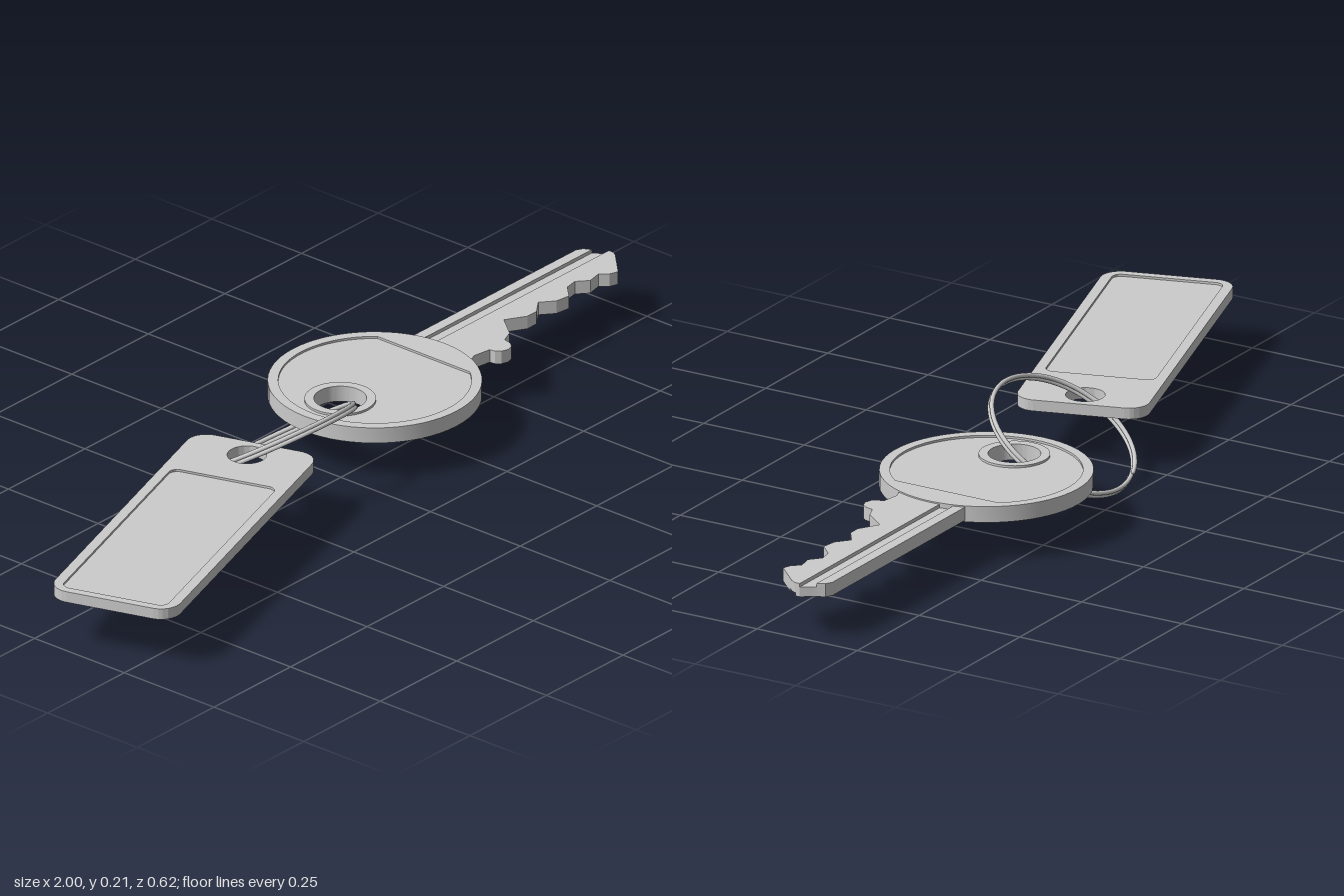
import * as THREE from 'three';
import { toCreasedNormals } from 'three/addons/utils/BufferGeometryUtils.js';

const material = new THREE.MeshStandardMaterial({ color: 0xcccccc, side: THREE.DoubleSide });

function addMesh(parent, name, geometry) {
  const mesh = new THREE.Mesh(geometry, material);
  mesh.name = name;
  parent.add(mesh);
  return mesh;
}

// Flat plate with its outline in plan (x, -z), from height y0 to y1
function addPlate(parent, name, shape, y0, y1) {
  const geometry = new THREE.ExtrudeGeometry(shape, { depth: y1 - y0, bevelEnabled: false, curveSegments: 32 });
  geometry.rotateX(-Math.PI / 2);
  geometry.translate(0, y0, 0);
  return addMesh(parent, name, toCreasedNormals(geometry, 0.5));
}

const planShape = (points) => new THREE.Shape(points.map(([x, z]) => new THREE.Vector2(x, -z)));

function circle(x, z, r, Type = THREE.Path) {
  const path = new Type();
  path.absarc(x, -z, r, 0, Math.PI * 2, false);
  return path;
}

function roundedRect(x0, x1, halfWidth, r, Type = THREE.Path) {
  const path = new Type();
  path.absarc(x1 - r, halfWidth - r, r, 0, Math.PI / 2, false);
  path.absarc(x0 + r, halfWidth - r, r, Math.PI / 2, Math.PI, false);
  path.absarc(x0 + r, -halfWidth + r, r, Math.PI, Math.PI * 1.5, false);
  path.absarc(x1 - r, -halfWidth + r, r, Math.PI * 1.5, Math.PI * 2, false);
  path.closePath();
  return path;
}

function createTag() {
  const tag = new THREE.Group();
  tag.name = 'tag';
  const outline = () => roundedRect(-0.402, 0.402, 0.144, 0.045, THREE.Shape);
  const base = outline();
  base.holes.push(circle(0.343, 0, 0.042));
  addPlate(tag, 'tagBase', base, 0.114, 0.134);
  // Raised border around the label recess
  const rim = outline();
  rim.holes.push(circle(0.343, 0, 0.042), roundedRect(-0.383, 0.223, 0.121, 0.02));
  addPlate(tag, 'tagRim', rim, 0.134, 0.139);
  tag.position.set(-0.585, 0, 0.0615);
  tag.rotation.y = THREE.MathUtils.degToRad(17.5);
  return tag;
}

// Split ring: two turns of round wire
function createRing() {
  const ring = new THREE.Group();
  ring.name = 'splitRing';
  const radius = 0.17, pitch = 0.009, wire = 0.005, steps = 96;
  const points = [];
  for (let i = 0; i <= steps; i++) {
    const turn = (2 * i) / steps;
    const t = -Math.PI / 2 - 0.4 + turn * Math.PI * 2;
    points.push(new THREE.Vector3(radius * Math.cos(t), (turn - 1) * pitch, radius * Math.sin(t)));
  }
  addMesh(ring, 'ringWire', new THREE.TubeGeometry(new THREE.CatmullRomCurve3(points), 256, wire, 10));
  for (const end of [points[0], points[steps]]) {
    addMesh(ring, 'ringWireEnd', new THREE.SphereGeometry(wire, 10, 8)).position.copy(end);
  }
  ring.position.set(-0.1, 0.105, -0.081);
  ring.rotation.x = -0.575;
  return ring;
}

function createKey() {
  const key = new THREE.Group();
  key.name = 'key';
  const cx = 0.207, cz = -0.082, r = 0.2275, holeX = 0.094;

  // Round bow with a hole
  const bow = circle(cx, cz, r, THREE.Shape);
  bow.holes.push(circle(holeX, cz, 0.056));
  addPlate(key, 'bow', bow, 0.09, 0.121);

  // Raised border; the recess ends in a straight chord toward the blade
  const rim = circle(cx, cz, r, THREE.Shape);
  const recess = new THREE.Path();
  recess.absarc(cx, -cz, 0.205, 0.68, Math.PI * 2 - 0.68, false);
  recess.closePath();
  rim.holes.push(recess);
  addPlate(key, 'bowRim', rim, 0.121, 0.126);

  const boss = circle(holeX, cz, 0.076, THREE.Shape);
  boss.holes.push(circle(holeX, cz, 0.056));
  addPlate(key, 'holeRim', boss, 0.121, 0.126);

  // Cut edge of the blade from the tip back to the shoulder
  const cuts = [
    [0.99, -0.08], [0.935, -0.025], [0.915, -0.032], [0.9, -0.05], [0.865, -0.043],
    [0.84, -0.065], [0.81, -0.06], [0.78, -0.03], [0.745, -0.035], [0.715, -0.06],
    [0.68, -0.035], [0.65, -0.035], [0.605, -0.062], [0.565, -0.012], [0.535, 0],
    [0.53, 0.02], [0.521, 0.031], [0.505, 0.036], [0.489, 0.031], [0.48, 0.02],
    [0.478, 0.007], [0.435, 0], [0.415, 0.008], [0.395, 0.03], [0.38, 0.03],
  ];
  const back = [[0.38, -0.16], [0.955, -0.16], [0.97, -0.152], [0.978, -0.135]];
  const tip = [[0.985, -0.125], [0.998, -0.105]];
  addPlate(key, 'bladeCore', planShape([...back, ...tip, [0.998, -0.092], ...cuts]), 0.1, 0.115);
  // Lands either side of the milled grooves, above and below
  addPlate(key, 'upperSpine', planShape([...back, [0.38, -0.135]]), 0.115, 0.123);
  addPlate(key, 'upperLand', planShape([[0.38, -0.105], [0.998, -0.105], [0.998, -0.092], ...cuts]), 0.115, 0.123);
  addPlate(key, 'lowerSpine', planShape([...back, ...tip, [0.998, -0.095], [0.38, -0.095]]), 0.093, 0.1);
  addPlate(key, 'lowerLand', planShape([[0.38, -0.07], [0.98, -0.07], ...cuts.slice(1)]), 0.093, 0.1);
  return key;
}

export function createModel() {
  const model = new THREE.Group();
  model.name = 'keyWithTag';
  model.add(createTag(), createRing(), createKey());
  return model;
}
